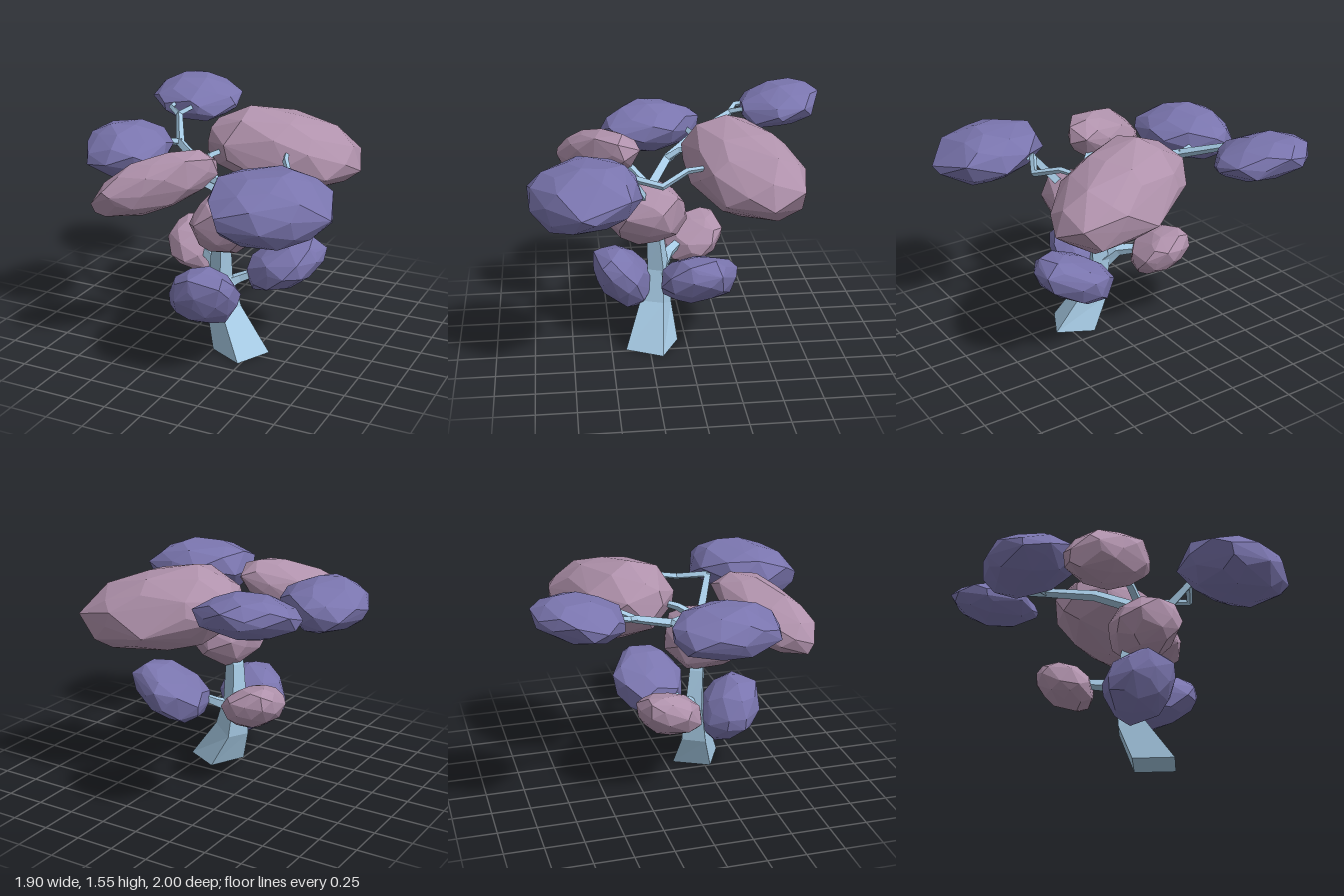
import * as THREE from 'three';
import { ConvexGeometry } from 'three/addons/geometries/ConvexGeometry.js';

const material = (color) => new THREE.MeshStandardMaterial({ color, flatShading: true });

function seeded(seed) {
  let s = seed * 7919 + 17;
  return () => (s = (s * 16807) % 2147483647) / 2147483647;
}

// Faceted leaf clump: hull of jittered, sheared sphere points fitted to a box.
// box = [x0, x1, y0, y1, z0, z1]; shear = [y by x, y by z, z by x]
function clumpGeometry(box, shear, seed) {
  const rand = seeded(seed);
  const points = [];
  const count = 44;
  for (let i = 0; i < count; i++) {
    const y = 1 - (2 * (i + 0.5)) / count;
    const a = i * 2.39996 + rand() * 0.5;
    const r = Math.sqrt(1 - y * y);
    const p = new THREE.Vector3(r * Math.cos(a), y, r * Math.sin(a));
    p.multiplyScalar(0.92 + 0.14 * rand());
    p.y += shear[0] * p.x + shear[1] * p.z;
    p.z += shear[2] * p.x;
    points.push(p);
  }
  const bounds = new THREE.Box3().setFromPoints(points);
  const size = bounds.getSize(new THREE.Vector3());
  const low = new THREE.Vector3(box[0], box[2], box[4]);
  const span = new THREE.Vector3(box[1], box[3], box[5]).sub(low);
  points.forEach((p) => p.sub(bounds.min).divide(size).multiply(span).add(low));
  return new ConvexGeometry(points);
}

// Tapered four-sided limb through path points [x, y, z, radius].
function limbGeometry(path) {
  const sides = 4;
  const centres = path.map((p) => new THREE.Vector3(p[0], p[1], p[2]));
  const last = path.length - 1;
  const positions = [];
  const index = [];
  let u = new THREE.Vector3(0.95, 0, -0.31);
  centres.forEach((c, i) => {
    const t = centres[Math.min(i + 1, last)].clone().sub(centres[Math.max(i - 1, 0)]).normalize();
    if (c.y === 0) t.set(0, 1, 0);
    if (Math.abs(u.dot(t)) > 0.95) u.set(0, 1, 0);
    u = u.clone().addScaledVector(t, -u.dot(t)).normalize();
    const v = t.clone().cross(u);
    for (let k = 0; k < sides; k++) {
      const a = (k / sides) * Math.PI * 2;
      const p = c.clone()
        .addScaledVector(u, Math.cos(a) * path[i][3])
        .addScaledVector(v, Math.sin(a) * path[i][3]);
      positions.push(p.x, p.y, p.z);
      if (i < last) {
        const b = i * sides + k;
        const n = i * sides + ((k + 1) % sides);
        index.push(b, n, n + sides, b, n + sides, b + sides);
      }
    }
  });
  // End caps
  const e = last * sides;
  index.push(0, 2, 1, 0, 3, 2, e, e + 1, e + 2, e, e + 2, e + 3);
  const indexed = new THREE.BufferGeometry();
  indexed.setAttribute('position', new THREE.Float32BufferAttribute(positions, 3));
  indexed.setIndex(index);
  const g = indexed.toNonIndexed();
  g.computeVertexNormals();
  return g;
}

export function createModel() {
  const model = new THREE.Group();
  model.name = 'tree';
  const bark = material(0xa6cae4);
  const violet = material(0x7a75ae);
  const pink = material(0xb092ac);

  const add = (name, geometry, mat) => {
    const mesh = new THREE.Mesh(geometry, mat);
    mesh.name = name;
    model.add(mesh);
  };

  // Trunk and branches
  const limbs = {
    trunk: [[0.175, 0, 0.23, 0.185], [0.035, 0.25, 0.19, 0.115], [0, 0.48, 0.17, 0.078],
      [0.015, 0.72, 0.19, 0.062], [0.07, 0.94, 0.22, 0.05], [0.1, 1.08, 0.23, 0.035]],
    lowLeftBranch: [[0.01, 0.42, 0.17, 0.05], [0.1, 0.46, 0.1, 0.035], [0.25, 0.52, 0.03, 0.025]],
    lowRightBranch: [[0, 0.44, 0.17, 0.06], [-0.09, 0.55, 0.09, 0.04], [-0.22, 0.57, 0, 0.03]],
    lowFrontBranch: [[0.01, 0.36, 0.18, 0.045], [0, 0.42, 0.32, 0.03]],
    frontBranch: [[0.11, 1.06, 0.22, 0.035], [-0.03, 1.17, 0.34, 0.03], [-0.15, 1.2, 0.45, 0.02]],
    backRightBranch: [[0.11, 1.06, 0.24, 0.04], [-0.17, 1.18, 0.09, 0.036], [-0.44, 1.25, -0.12, 0.03],
      [-0.59, 1.36, -0.39, 0.024]],
    rightTwig: [[-0.43, 1.25, -0.12, 0.026], [-0.55, 1.26, -0.08, 0.022], [-0.66, 1.27, 0.05, 0.015]],
    backTwigOuter: [[-0.59, 1.36, -0.38, 0.022], [-0.67, 1.39, -0.43, 0.02], [-0.67, 1.41, -0.56, 0.015]],
    backTwigInner: [[-0.59, 1.36, -0.38, 0.022], [-0.54, 1.39, -0.46, 0.02], [-0.52, 1.41, -0.58, 0.015]],
    centreTwig: [[-0.16, 1.18, 0.1, 0.028], [-0.15, 1.24, 0.01, 0.024], [-0.09, 1.26, -0.08, 0.02],
      [0.02, 1.26, -0.2, 0.015]],
    leftBranch: [[0.08, 0.94, 0.22, 0.045], [0.25, 1.07, 0.29, 0.036], [0.38, 1.24, 0.37, 0.028],
      [0.47, 1.25, 0.41, 0.022], [0.55, 1.24, 0.55, 0.015]],
    leftBackTwig: [[0.38, 1.25, 0.37, 0.024], [0.48, 1.22, 0.18, 0.022], [0.38, 1.28, 0.02, 0.02],
      [0.33, 1.28, -0.12, 0.015]],
  };
  for (const [name, path] of Object.entries(limbs)) add(name, limbGeometry(path), bark);

  // Leaf clumps: name, colour, box, shear
  const clumps = [
    ['backRightLeaves', violet, [-0.92, -0.3, 1.27, 1.55, -1, -0.46], [-0.1, -0.3, 0]],
    ['rightLeaves', violet, [-0.95, -0.38, 1.1, 1.43, -0.18, 0.51], [0, 0, 0.15]],
    ['backLeaves', pink, [-0.29, 0.71, 0.96, 1.52, -0.72, 0.01], [-0.25, 0.1, -0.3]],
    ['frontRightLeaves', pink, [-0.6, 0.09, 0.99, 1.4, 0.28, 0.81], [0.6, 0, -0.7]],
    ['frontLeftLeaves', violet, [0.2, 0.95, 1.02, 1.41, 0.31, 1], [-0.1, -0.2, -0.1]],
    ['centreLeaves', pink, [-0.12, 0.34, 0.71, 1.12, -0.01, 0.5], [0.1, 0, 0]],
    ['lowFrontLeaves', violet, [-0.23, 0.22, 0.2, 0.65, 0.2, 0.6], [0.1, 0.4, 0]],
    ['lowLeftLeaves', violet, [0.09, 0.61, 0.36, 0.73, -0.31, 0.19], [0.5, -0.1, 0]],
    ['lowRightLeaves', pink, [-0.49, -0.11, 0.4, 0.74, -0.29, 0.13], [-0.35, -0.3, 0]],
  ];
  clumps.forEach(([name, mat, box, shear], i) => add(name, clumpGeometry(box, shear, i + 1), mat));

  return model;
}
